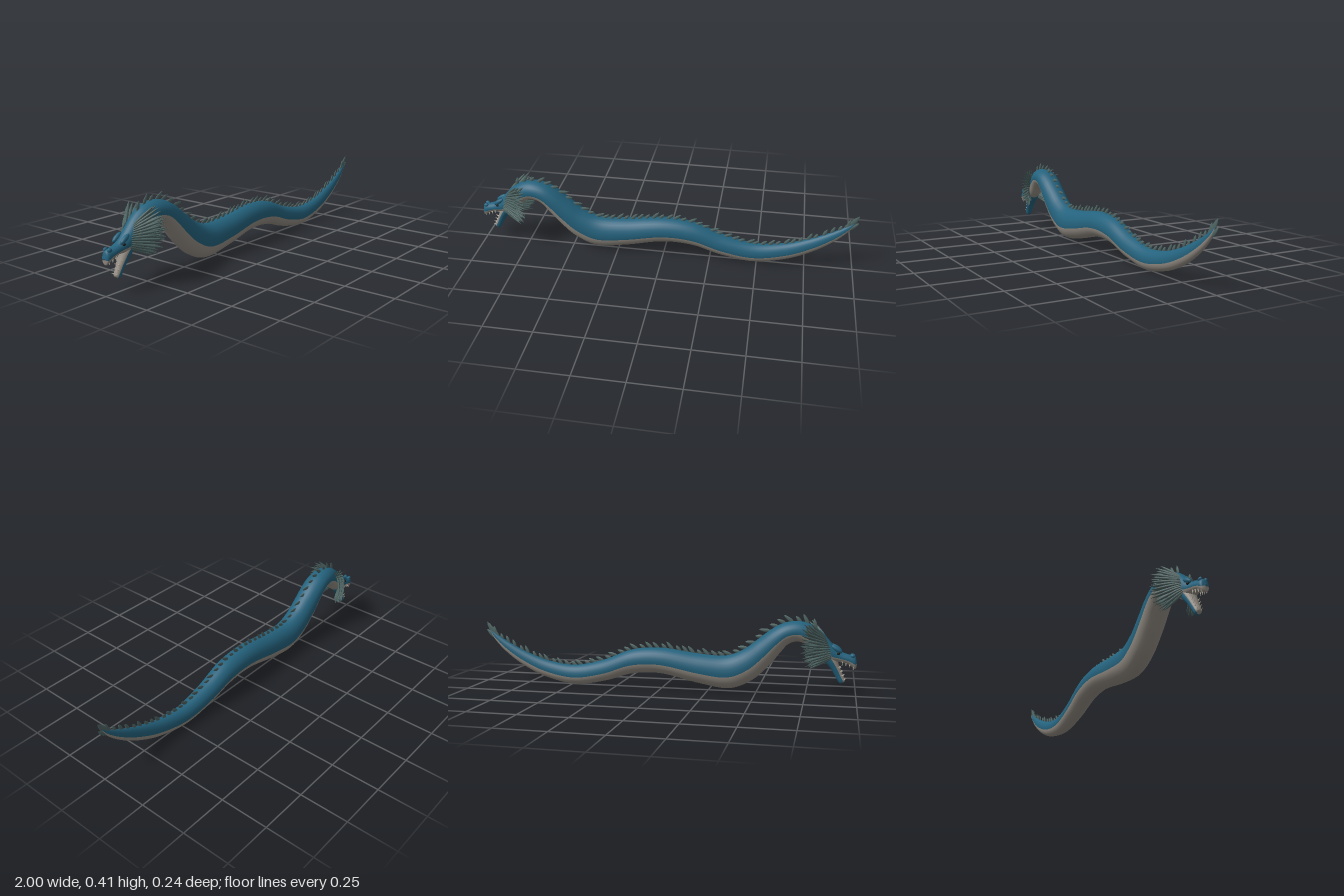
import * as THREE from 'three';

const mat = (name, color, extra = {}) => {
  const m = new THREE.MeshStandardMaterial({ color, ...extra });
  m.name = name;
  return m;
};

// Lofted tube: each station is [topX, topY, bottomX, bottomY, halfWidth], running towards +x.
function makeLoft(stations, steps, sides, bellyLevel) {
  const curve = pts => new THREE.CatmullRomCurve3(pts, false, 'catmullrom', 0.5);
  const top = curve(stations.map(s => new THREE.Vector3(s[0], s[1], s[4])));
  const bottom = curve(stations.map(s => new THREE.Vector3(s[2], s[3], 0)));
  const pos = [], back = [], belly = [];
  for (let i = 0; i <= steps; i++) {
    const a = top.getPoint(i / steps), b = bottom.getPoint(i / steps);
    for (let j = 0; j < sides; j++) {
      const t = j / sides * Math.PI * 2, k = (1 + Math.cos(t)) / 2;
      pos.push(b.x + (a.x - b.x) * k, b.y + (a.y - b.y) * k, Math.max(a.z, 0.0005) * Math.sin(t));
    }
  }
  for (let i = 0; i < steps; i++) {
    for (let j = 0; j < sides; j++) {
      const n = (j + 1) % sides;
      const p = i * sides + j, q = i * sides + n;
      const isBelly = Math.cos((j + 0.5) / sides * Math.PI * 2) < bellyLevel;
      (isBelly ? belly : back).push(p, q, p + sides, q, q + sides, p + sides);
    }
  }
  const geo = new THREE.BufferGeometry();
  geo.setAttribute('position', new THREE.Float32BufferAttribute(pos, 3));
  geo.setIndex([...back, ...belly]);
  geo.addGroup(0, back.length, 0);
  geo.addGroup(back.length, belly.length, 1);
  geo.computeVertexNormals();
  return { geo, top };
}

export function createModel() {
  const root = new THREE.Group();
  root.name = 'seaSerpent';
  const blue = mat('blueSkin', 0x24627d);
  const grey = mat('greyBelly', 0x948d84);
  const fin = mat('spineGreen', 0x4d6462);
  const bone = mat('bone', 0xc9c3b4);
  const dark = mat('eyeDark', 0x1a1d1c);

  const add = (parent, name, geo, material, p = [0, 0, 0]) => {
    const m = new THREE.Mesh(geo, material);
    m.name = name;
    m.position.set(...p);
    parent.add(m);
    return m;
  };

  // Upper head, neck, body and tail in one skin
  const body = makeLoft([
    [-1.0, 0.175, -1.0, 0.165, 0.003],
    [-0.99, 0.207, -0.992, 0.142, 0.021],
    [-0.96, 0.215, -0.955, 0.165, 0.026],
    [-0.92, 0.23, -0.91, 0.175, 0.03],
    [-0.88, 0.265, -0.86, 0.175, 0.039],
    [-0.83, 0.32, -0.805, 0.205, 0.045],
    [-0.775, 0.36, -0.76, 0.25, 0.051],
    [-0.71, 0.377, -0.71, 0.272, 0.057],
    [-0.64, 0.367, -0.66, 0.258, 0.062],
    [-0.575, 0.333, -0.62, 0.213, 0.065],
    [-0.505, 0.278, -0.56, 0.14, 0.066],
    [-0.43, 0.222, -0.475, 0.062, 0.066],
    [-0.34, 0.188, -0.36, 0.016, 0.066],
    [-0.2, 0.193, -0.2, 0.037, 0.065],
    [0.0, 0.217, 0.0, 0.08, 0.061],
    [0.16, 0.203, 0.16, 0.073, 0.057],
    [0.32, 0.142, 0.31, 0.028, 0.051],
    [0.48, 0.108, 0.48, 0.002, 0.043],
    [0.63, 0.124, 0.65, 0.034, 0.034],
    [0.76, 0.167, 0.78, 0.092, 0.026],
    [0.87, 0.22, 0.885, 0.165, 0.018],
    [0.945, 0.266, 0.955, 0.237, 0.01],
    [0.985, 0.3, 0.985, 0.295, 0.002],
  ], 200, 28, -0.24);
  add(root, 'body', body.geo, [blue, grey]);

  // Hanging lower jaw, lofted from its tip to the hinge; pale lining faces the mouth
  const jaw = makeLoft([
    [-0.931, 0.067, -0.927, 0.065, 0.003],
    [-0.945, 0.083, -0.915, 0.07, 0.016],
    [-0.93, 0.12, -0.895, 0.103, 0.021],
    [-0.915, 0.155, -0.872, 0.14, 0.027],
    [-0.9, 0.19, -0.835, 0.185, 0.034],
    [-0.87, 0.22, -0.82, 0.225, 0.034],
  ], 30, 20, 0.2);
  add(root, 'lowerJaw', jaw.geo, [grey, blue]);

  // Leaf-shaped spike used for every spine and frill quill
  const leaf = new THREE.LatheGeometry(
    [[0.25, 0], [0.48, 0.25], [0.46, 0.55], [0.28, 0.83], [0, 1]].map(p => new THREE.Vector2(...p)), 8);
  const up = new THREE.Vector3(0, 1, 0);
  const spike = (parent, name, from, to, width, thick) => {
    const d = to.clone().sub(from), len = d.length();
    const m = add(parent, name, leaf, fin, from.toArray());
    m.quaternion.setFromUnitVectors(up, d.normalize());
    m.scale.set(width, len, thick);
  };

  // Row of swept-back spines along the back
  const ridge = new THREE.Group();
  ridge.name = 'dorsalSpines';
  root.add(ridge);
  const samples = body.top.getPoints(600);
  const count = 46;
  for (let i = 0; i < count; i++) {
    const x = -0.80 + 1.74 * i / (count - 1);
    const k = Math.max(1, samples.findIndex(p => p.x >= x));
    const p = samples[k], t = p.clone().sub(samples[k - 1]).setZ(0).normalize();
    const n = new THREE.Vector3(-t.y, t.x, 0);
    const size = (0.046 - 0.008 * i / count) * (1 + 0.2 * Math.sin(i * 2.4));
    const base = new THREE.Vector3(p.x, p.y, 0).addScaledVector(n, -0.007);
    const tip = base.clone().addScaledVector(t, size * 0.85).addScaledVector(n, size * 0.78);
    spike(ridge, 'dorsalSpine', base, tip, 0.02, 0.009);
  }

  // Tail fin
  const tail = new THREE.Group();
  tail.name = 'tailFin';
  root.add(tail);
  [[0.945, 0.25, 0.998, 0.33, 0.03], [0.93, 0.245, 0.975, 0.305, 0.025], [0.955, 0.245, 1.0, 0.29, 0.022]]
    .forEach(([x, y, tx, ty, w]) =>
      spike(tail, 'tailFinBlade', new THREE.Vector3(x, y, 0), new THREE.Vector3(tx, ty, 0), w, 0.01));

  for (const s of [1, -1]) {
    // Swept-back frill of quills in three layers on each side of the neck
    const frill = new THREE.Group();
    frill.name = s > 0 ? 'leftFrill' : 'rightFrill';
    root.add(frill);
    for (let layer = 0; layer < 3; layer++) {
      for (let i = 0; i < 14; i++) {
        const a = (-62 + 124 * (i + layer * 0.33) / 13.6) * Math.PI / 180;
        const wob = Math.sin(i * 2.7 + layer * 1.9);
        const r = 0.136 - layer * 0.013 + wob * 0.006;
        const c = Math.cos(a), sn = Math.sin(a);
        const from = new THREE.Vector3(-0.865 + layer * 0.016 + 0.025 * sn, 0.25 + 0.055 * sn, s * 0.034 * (0.4 + 0.6 * c));
        const to = new THREE.Vector3(-0.785 + layer * 0.012 + 0.035 * c + wob * 0.008, 0.265 + r * sn,
          s * Math.min(0.122, r * (0.15 + 0.8 * c)));
        spike(frill, 'frillQuill', from, to, 0.015, 0.012);
      }
    }

    // Brow, eye and nostril bump
    const brow = add(root, 'brow', new THREE.SphereGeometry(1, 12, 8), blue, [-0.9, 0.243, s * 0.025]);
    brow.scale.set(0.032, 0.012, 0.012);
    brow.rotation.z = 0.6;
    add(root, 'eye', new THREE.SphereGeometry(0.008, 10, 8), dark, [-0.908, 0.222, s * 0.028]);
    const nostril = add(root, 'nostril', new THREE.SphereGeometry(1, 10, 8), blue, [-0.978, 0.209, s * 0.013]);
    nostril.scale.set(0.013, 0.01, 0.009);

    // Teeth on both jaws
    for (let i = 0; i < 4; i++) {
      const upper = add(root, 'upperTooth', new THREE.ConeGeometry(0.004, 0.02, 6), bone,
        [-0.983 + i * 0.018, 0.15 + i * 0.007, s * (0.014 + i * 0.002)]);
      upper.rotation.z = Math.PI;
      const lower = add(root, 'lowerTooth', new THREE.ConeGeometry(0.0035, 0.018, 6), bone,
        [-0.945 + i * 0.008, 0.09 + i * 0.02, s * (0.011 + i * 0.002)]);
      lower.rotation.z = 1.1;
    }
  }
  return root;
}
